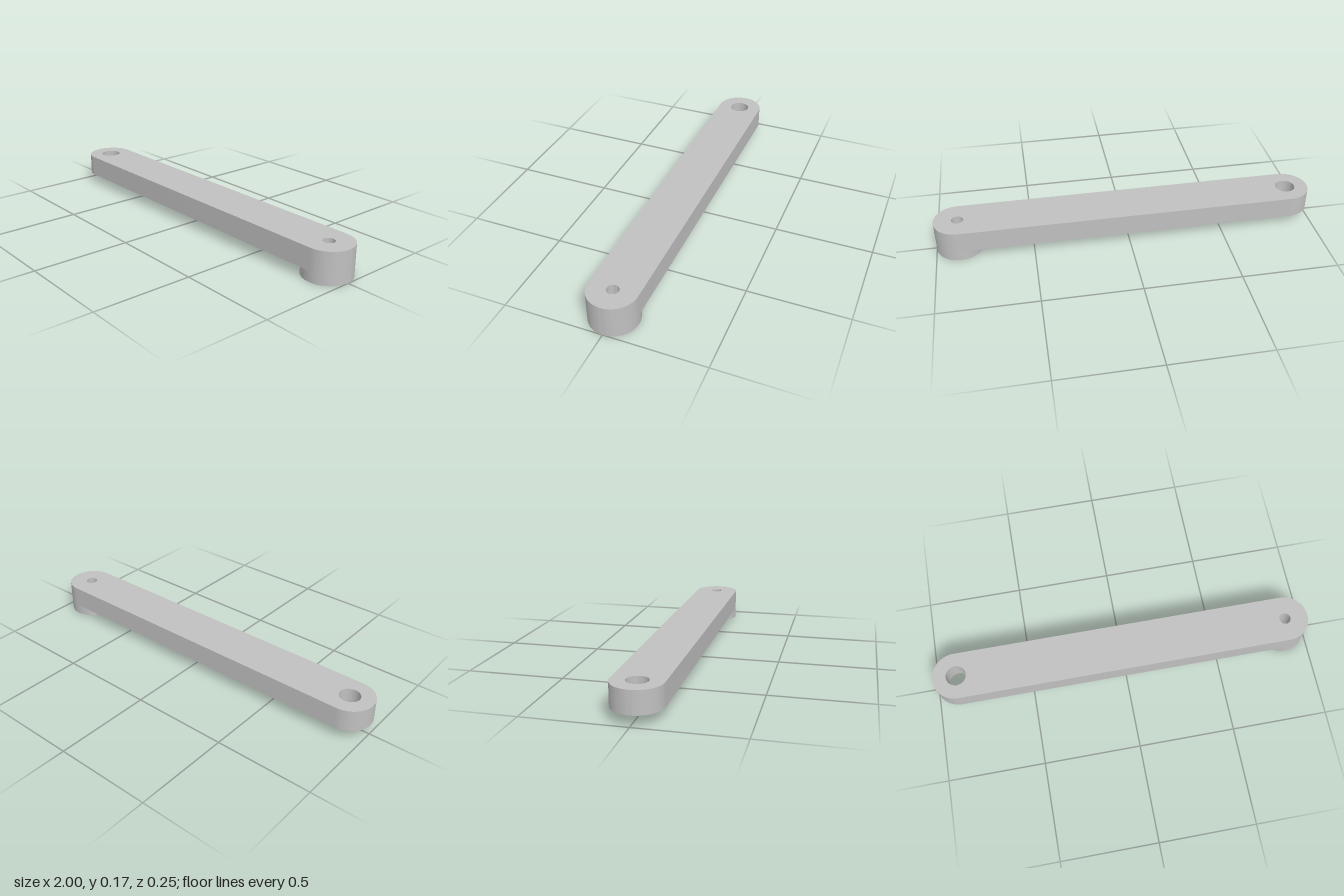
import * as THREE from 'three';
import { toCreasedNormals } from 'three/addons/utils/BufferGeometryUtils.js';

const R = 0.1225;       // half width of the bar, radius of its round ends
const END = 1 - R;      // distance of the end centres from the middle
const STEP = 0.053;     // underside of the bar
const TOP = 0.165;

function hole(x, r) {
  return new THREE.Path().absarc(x, 0, r, 0, Math.PI * 2, true);
}

// Extrudes a plan outline upwards from y0 to y1
function slab(name, shape, y0, y1, material) {
  const extruded = new THREE.ExtrudeGeometry(shape, {
    depth: y1 - y0, bevelEnabled: false, curveSegments: 40,
  });
  extruded.rotateX(-Math.PI / 2).translate(0, y0, 0);
  const mesh = new THREE.Mesh(toCreasedNormals(extruded, 0.6), material);
  mesh.name = name;
  return mesh;
}

export function createModel() {
  const group = new THREE.Group();
  group.name = 'crankArm';
  const metal = new THREE.MeshStandardMaterial({ color: 0xc0c0c0 });
  metal.name = 'grey metal';

  // Long bar with rounded ends, a wide hole and a narrow hole
  const bar = new THREE.Shape();
  bar.absarc(END, 0, R, -Math.PI / 2, Math.PI / 2, false);
  bar.absarc(-END, 0, R, Math.PI / 2, Math.PI * 1.5, false);
  bar.closePath();
  bar.holes.push(hole(-END, 0.052), hole(END, 0.03));
  group.add(slab('bar', bar, STEP, TOP, metal));

  // Round boss under the left end, with a wider bore
  const boss = new THREE.Shape().absarc(END, 0, R, 0, Math.PI * 2, false);
  boss.holes.push(hole(END, 0.05));
  group.add(slab('boss', boss, 0, STEP, metal));

  return group;
}
